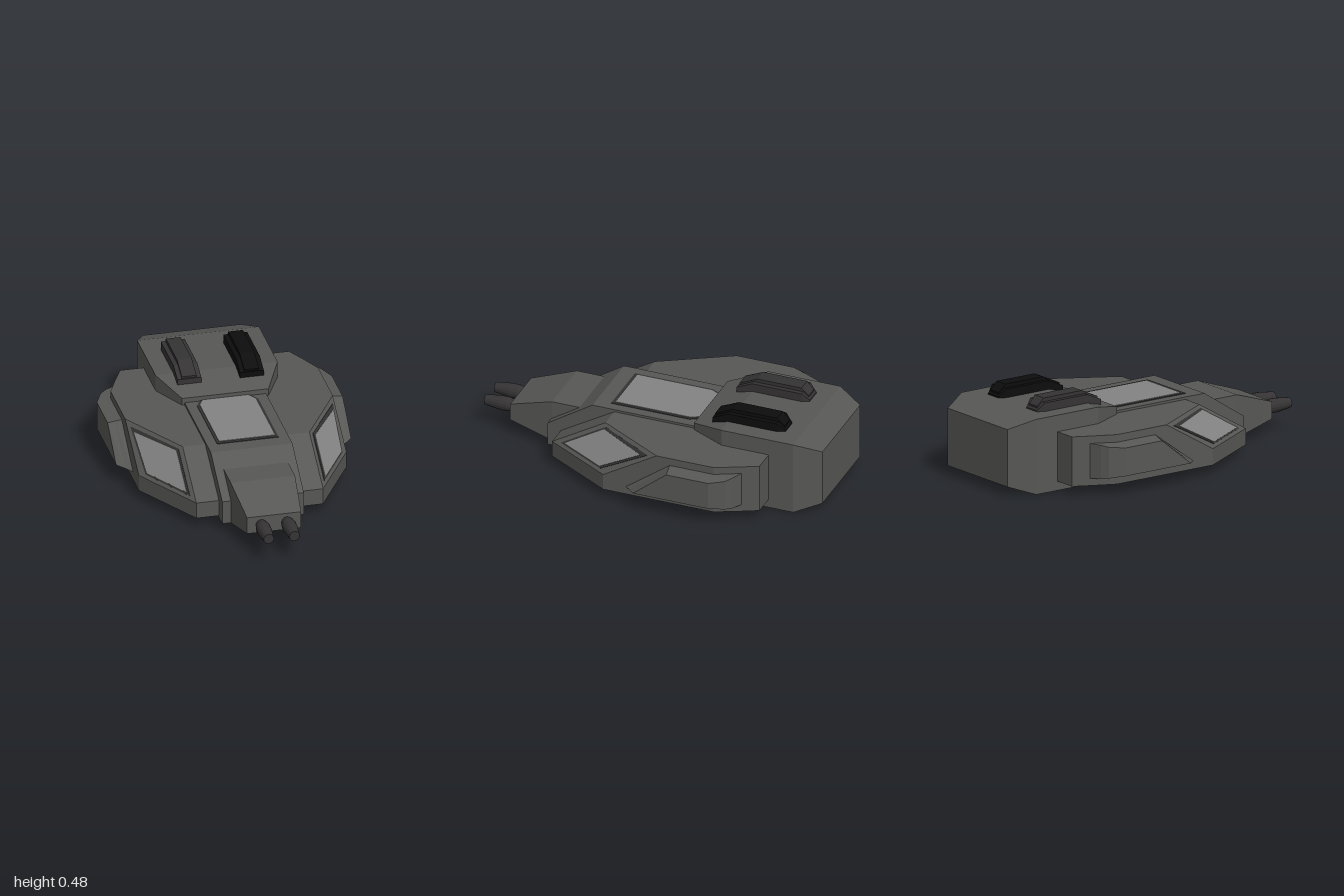
import * as THREE from 'three';

const paint = (color) => new THREE.MeshStandardMaterial({ color, flatShading: true });
const hullMat = paint(0x575755);
const frameMat = paint(0x333232);
const glassMat = paint(0x838383);
const gunMat = paint(0x353333);
const blackMat = paint(0x0d0d0d);

// Closed solid through rings of [x, y, z] corners, always wound outward
function loft(name, rings, material) {
  const tris = [];
  const n = rings[0].length;
  for (let r = 0; r < rings.length - 1; r++) {
    for (let i = 0; i < n; i++) {
      const j = (i + 1) % n;
      const a = rings[r][i], b = rings[r][j], c = rings[r + 1][j], d = rings[r + 1][i];
      tris.push([a, b, c], [a, c, d]);
    }
  }
  const first = rings[0], last = rings[rings.length - 1];
  for (let i = 1; i < n - 1; i++) {
    tris.push([first[0], first[i + 1], first[i]], [last[0], last[i], last[i + 1]]);
  }
  let volume = 0;
  for (const t of tris) {
    const [a, b, c] = t.map((p) => new THREE.Vector3(...p));
    volume += a.dot(b.cross(c));
  }
  if (volume < 0) tris.forEach((t) => t.reverse());
  const geometry = new THREE.BufferGeometry();
  geometry.setAttribute('position', new THREE.Float32BufferAttribute(tris.flat(2), 3));
  geometry.computeVertexNormals();
  const mesh = new THREE.Mesh(geometry, material);
  mesh.name = name;
  return mesh;
}

// Rectangular cross-section at z: centre x, half width, bottom, top
const rect = (z, cx, hw, y0, y1) => [
  [cx - hw, y0, z], [cx + hw, y0, z], [cx + hw, y1, z], [cx - hw, y1, z],
];

// Horizontal ring from [x, z] outline points
const level = (y, outline, side = 1) => outline.map(([x, z]) => [x * side, y, z]);

function createWing(side) {
  const wing = new THREE.Group();
  wing.name = side > 0 ? 'leftWing' : 'rightWing';
  const tail = [[0.565, -0.5], [0.51, -0.62], [0.46, -0.72], [0.2, -0.72]];
  const lower = [[0.2, 0.51], [0.345, 0.51], [0.565, 0.13], ...tail];
  const upper = [[0.2, 0.205], [0.345, 0.205], [0.565, -0.175], ...tail];
  wing.add(loft('wingBody', [level(0.05, lower, side), level(0.14, lower, side), level(0.322, upper, side)], hullMat));

  // Window on the sloped outer face, placed by fractions along its edges
  const origin = new THREE.Vector3(0.345, 0.14, 0.51);
  const along = new THREE.Vector3(0.22, 0, -0.38);
  const up = new THREE.Vector3(0, 0.182, -0.305);
  const normal = along.clone().cross(up).normalize();
  const panel = (name, corners, height, material) => {
    const ring = (h) => corners.map(([u, v]) => {
      const p = origin.clone().addScaledVector(along, u).addScaledVector(up, v).addScaledVector(normal, h);
      return [p.x * side, p.y, p.z];
    });
    wing.add(loft(name, [ring(-0.01), ring(height)], material));
  };
  panel('sideWindowFrame', [[0.09, 0.08], [0.86, 0.08], [0.93, 0.9], [0.09, 0.92]], 0.003, frameMat);
  panel('sideWindowGlass', [[0.13, 0.12], [0.82, 0.12], [0.88, 0.82], [0.13, 0.86]], 0.006, glassMat);

  // Raised pod on the flank: x, front low z, front high z, back z, bottom, top
  const pod = [
    [0.5, 0.01, -0.24, -0.635, 0.09, 0.282],
    [0.565, 0, -0.25, -0.605, 0.095, 0.28],
    [0.6, -0.035, -0.255, -0.58, 0.102, 0.273],
    [0.64, -0.07, -0.26, -0.5, 0.11, 0.265],
  ].map(([x, low, high, back, y0, y1]) => [
    [x * side, y0, low], [x * side, y1, high], [x * side, y1, back], [x * side, y0, back],
  ]);
  wing.add(loft('flankPod', pod, hullMat));
  return wing;
}

function createVent(side) {
  const vent = new THREE.Group();
  vent.name = side > 0 ? 'leftVent' : 'rightVent';
  const material = side > 0 ? blackMat : gunMat;
  const x = 0.17 * side;
  vent.add(loft('ventBase', [
    rect(-0.36, x, 0.065, 0.385, 0.42), rect(-0.45, x, 0.065, 0.385, 0.46),
    rect(-0.73, x, 0.065, 0.385, 0.46), rect(-0.77, x, 0.045, 0.385, 0.42),
  ], material));
  vent.add(loft('ventRidge', [
    rect(-0.365, x, 0.04, 0.4, 0.432), rect(-0.47, x, 0.04, 0.4, 0.48),
    rect(-0.72, x, 0.04, 0.4, 0.48), rect(-0.76, x, 0.035, 0.4, 0.44),
  ], material));
  return vent;
}

function createGun(side) {
  const profile = [[0, 0.8], [0.03, 0.8], [0.03, 0.83], [0.039, 0.87], [0.039, 0.91], [0.028, 1], [0, 1]];
  const geometry = new THREE.LatheGeometry(profile.map(([r, z]) => new THREE.Vector2(r, z)), 16);
  geometry.rotateX(Math.PI / 2);
  const gun = new THREE.Mesh(geometry, gunMat);
  gun.name = side > 0 ? 'leftGun' : 'rightGun';
  gun.position.set(0.07 * side, 0.14, 0);
  return gun;
}

export function createModel() {
  const model = new THREE.Group();
  model.name = 'dropship';

  // Central hull with sloped front deck
  model.add(loft('centralHull', [
    rect(0.585, 0, 0.222, 0.04, 0.17), rect(0.33, 0, 0.222, 0.04, 0.335), rect(-0.4, 0, 0.222, 0.04, 0.335),
  ], hullMat));

  // Tapered nose carrying the guns
  model.add(loft('nose', [
    rect(0.38, 0, 0.175, 0.037, 0.275), rect(0.58, 0, 0.175, 0.037, 0.275), rect(0.83, 0, 0.147, 0.095, 0.19),
  ], hullMat));

  // Engine block at the rear
  model.add(loft('engineBlock', [
    rect(-0.255, 0, 0.235, 0, 0.362), rect(-0.45, 0, 0.332, 0, 0.413),
    rect(-0.86, 0, 0.332, 0, 0.413), rect(-1, 0, 0.265, 0.05, 0.365),
  ], hullMat));

  // Canopy window on the top deck
  const canopy = (name, hw, front, y, material) => {
    const outline = [[-hw, front], [hw, front], [hw, -0.2], [hw - 0.03, -0.258], [0.03 - hw, -0.258], [-hw, -0.2]];
    model.add(loft(name, [level(0.325, outline), level(y, outline)], material));
  };
  canopy('canopyFrame', 0.167, 0.245, 0.338, frameMat);
  canopy('canopyGlass', 0.152, 0.225, 0.341, glassMat);

  for (const side of [-1, 1]) {
    model.add(createWing(side), createVent(side), createGun(side));
  }
  return model;
}
